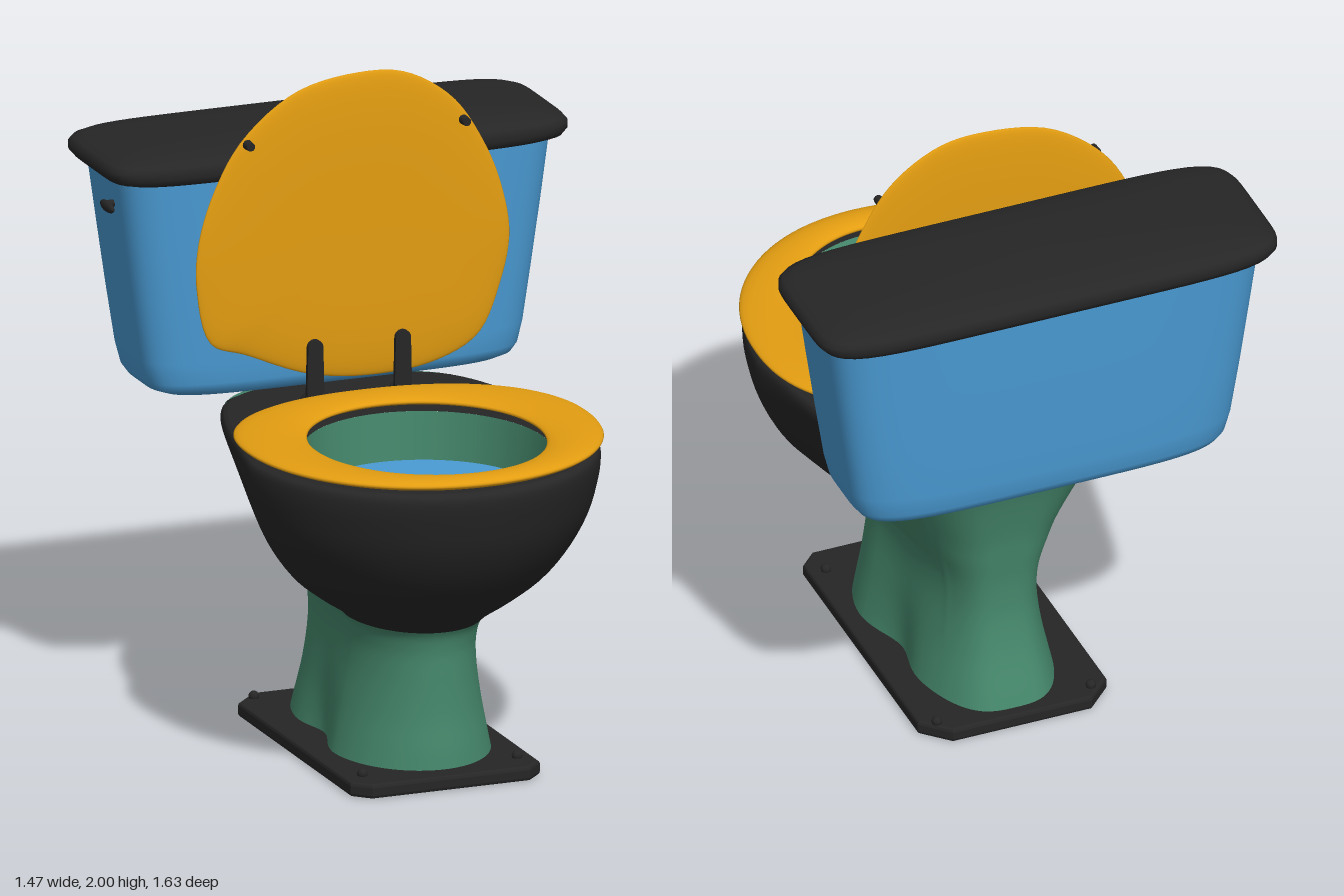
import * as THREE from 'three';

const BLACK = 0x262626, ORANGE = 0xe39d11, BLUE = 0x4a9bd4, GREEN = 0x46896d;
const TAU = Math.PI * 2, CX = -0.013, SIDES = 144;

function addMesh(parent, name, geometry, color, x = 0, y = 0, z = 0) {
  const mesh = new THREE.Mesh(geometry, new THREE.MeshStandardMaterial({ color }));
  mesh.name = name;
  mesh.position.set(x, y, z);
  parent.add(mesh);
  return mesh;
}

// Smooth surface f(u, v) -> [x, y, z], closed in u
function surface(f, nu, nv) {
  const pos = [], idx = [];
  for (let j = 0; j <= nv; j++)
    for (let i = 0; i < nu; i++) pos.push(...f(i / nu, j / nv));
  for (let j = 0; j < nv; j++)
    for (let i = 0; i < nu; i++) {
      const k = (i + 1) % nu, a = j * nu + i, b = j * nu + k, c = b + nu, d = a + nu;
      idx.push(a, b, c, a, c, d);
    }
  const g = new THREE.BufferGeometry();
  g.setAttribute('position', new THREE.Float32BufferAttribute(pos, 3));
  g.setIndex(idx);
  g.computeVertexNormals();
  return g;
}

// Horizontal egg: half width, front z, back z, z of the widest point, squareness front and back
function egg(u, hw, zf, zb, zm, nf = 2, nb = 2) {
  const s = Math.sin(u * TAU), c = Math.cos(u * TAU), n = c > 0 ? nf : nb;
  const r = (Math.abs(s) ** n + Math.abs(c) ** n) ** (-1 / n);
  return [CX + hw * r * s, zm + (c > 0 ? zf - zm : zm - zb) * r * c];
}

// Stack of rounded rectangles; rows are [y, half width, front z, back z]
function roundedStack(rows, n) {
  return surface((u, v) => {
    const [y, hw, zf, zb] = rows[Math.round(v * (rows.length - 1))];
    const [x, z] = egg(u, hw, zf, zb, (zf + zb) / 2, n, n);
    return [x + 0.008, y, z];
  }, 128, rows.length - 1);
}

// Bowl and pedestal profile: y, half width, front z, back z, widest z, half width at the back
const bodyRows = [
  [0.03, 0.245, 0.465, -0.445, 0.16, 0.22], [0.1, 0.23, 0.46, -0.425, 0.16, 0.205],
  [0.2, 0.21, 0.45, -0.395, 0.16, 0.185], [0.32, 0.19, 0.447, -0.375, 0.17, 0.17],
  [0.41, 0.188, 0.45, -0.375, 0.18, 0.17], [0.475, 0.21, 0.475, -0.38, 0.2, 0.18],
  [0.54, 0.3, 0.56, -0.39, 0.23, 0.195], [0.61, 0.385, 0.64, -0.4, 0.25, 0.215],
  [0.7, 0.455, 0.715, -0.42, 0.25, 0.255], [0.8, 0.507, 0.77, -0.447, 0.25, 0.305],
  [0.9, 0.534, 0.8, -0.483, 0.25, 0.355], [0.96, 0.54, 0.812, -0.503, 0.25, 0.385],
  [0.988, 0.535, 0.808, -0.475, 0.25, 0.39], [0.998, 0.52, 0.79, -0.435, 0.25, 0.39],
];
const spline = (i) => new THREE.CatmullRomCurve3(
  bodyRows.map(r => new THREE.Vector3(r[i], r[i + 1], r[i + 2])), false, 'catmullrom');
const curveA = spline(0), curveB = spline(3);

function body(u, v) {
  const a = curveA.getPoint(v), b = curveB.getPoint(v);
  const [x, z] = egg(u, a.y, a.z, b.x, b.y, 2, 3 + 1.8 * a.x ** 2);
  // taper towards the back, and a slight waist in the foot
  const t = Math.max(0, (b.y - z) / (b.y - b.x));
  const taper = 1 + (b.z / a.y - 1) * t ** 1.05;
  const pinch = 1 - 0.2 * Math.exp(-(((z + 0.02) / 0.11) ** 2) - (a.x / 0.22) ** 2);
  return [CX + (x - CX) * taper * pinch, a.x, z];
}

// Height of the line between pedestal and bowl at depth z
const seam = [[0.2, 0.47], [0.1, 0.51], [0, 0.575], [-0.1, 0.64], [-0.2, 0.74], [-0.36, 0.88], [-0.39, 1.05]];
function seamHeight(z) {
  if (z >= seam[0][0]) return seam[0][1];
  for (let i = 1; i < seam.length; i++)
    if (z >= seam[i][0]) {
      const [z0, y0] = seam[i - 1], [z1, y1] = seam[i];
      return y0 + (y1 - y0) * (z0 - z) / (z0 - z1);
    }
  return 1.05;
}
function seamV(u) {
  let lo = 0, hi = 1;
  for (let i = 0; i < 24; i++) {
    const mid = (lo + hi) / 2, p = body(u, mid);
    if (p[1] > seamHeight(p[2])) hi = mid; else lo = mid;
  }
  return hi;
}

export function createModel() {
  const root = new THREE.Group();
  root.name = 'toilet';

  // Base plate with cut corners, larger at the back, and its bolts
  const f = 0.05, b = 0.08, w = 0.303, plate = new THREE.Shape();
  plate.setFromPoints([
    [-w + f, -0.535], [w - f, -0.535], [w, -0.535 + f], [w, 0.48 - b],
    [w - b, 0.48], [-w + b, 0.48], [-w, 0.48 - b], [-w, -0.535 + f],
  ].map(([x, y]) => new THREE.Vector2(x, y)));
  const plateGeo = new THREE.ExtrudeGeometry(plate, {
    depth: 0.024, bevelThickness: 0.01, bevelSize: 0.01, bevelOffset: -0.01, bevelSegments: 2,
  }).rotateX(-Math.PI / 2);
  addMesh(root, 'basePlate', plateGeo, BLACK, -0.02, 0.01, 0);
  for (const x of [-0.262, 0.232])
    for (const z of [0.43, -0.425])
      addMesh(root, 'baseBolt', new THREE.SphereGeometry(0.016, 12, 8), BLACK, x, 0.05, z);

  // Pedestal below the seam, bowl above it
  const split = Array.from({ length: SIDES }, (_, i) => seamV(i / SIDES));
  const splitAt = u => split[Math.round(u * SIDES) % SIDES];
  addMesh(root, 'pedestal', surface((u, v) => body(u, v * splitAt(u)), SIDES, 32), GREEN);
  addMesh(root, 'bowl', surface((u, v) => body(u, splitAt(u) + v * (1 - splitAt(u))), SIDES, 28), BLACK);

  // Rim deck, inner wall and water
  const hole = u => egg(u, 0.365, 0.725, -0.06, 0.33);
  const pool = u => egg(u, 0.35, 0.66, -0.05, 0.3);
  addMesh(root, 'rimDeck', surface((u, v) => {
    const p = body(u, 1), h = hole(u);
    return [p[0] + (h[0] - p[0]) * v, 0.998, p[2] + (h[1] - p[2]) * v];
  }, SIDES, 2), BLACK);
  addMesh(root, 'bowlInside', surface((u, v) => {
    const h = hole(u), p = pool(u);
    return [h[0] + (p[0] - h[0]) * v, 0.998 - 0.15 * v, h[1] + (p[1] - h[1]) * v];
  }, 72, 4), GREEN);
  addMesh(root, 'water', surface((u, v) => {
    const p = pool(u);
    return [CX + (p[0] - CX) * (1 - v), 0.85, 0.3 + (p[1] - 0.3) * (1 - v)];
  }, 72, 2), BLUE);

  // Seat ring with a rounded section
  addMesh(root, 'seat', surface((u, v) => {
    const a = -Math.PI / 2 + v * TAU, t = 0.5 - 0.5 * Math.cos(a);
    const o = egg(u, 0.545, 0.817, -0.203, 0.25, 2.07, 2.3), i = egg(u, 0.35, 0.718, -0.053, 0.32);
    return [o[0] + (i[0] - o[0]) * t, 1.026 + 0.018 * Math.sin(a), o[1] + (i[1] - o[1]) * t];
  }, 96, 24), ORANGE);

  // Raised lid, pillowed
  const outline = new THREE.CatmullRomCurve3([
    [0, 2], [-0.2, 1.96], [-0.37, 1.83], [-0.46, 1.68], [-0.51, 1.52], [-0.515, 1.38], [-0.47, 1.21], [-0.36, 1.165],
    [-0.16, 1.085], [0.03, 1.06], [0.24, 1.08], [0.38, 1.15], [0.45, 1.3], [0.48, 1.45], [0.455, 1.6], [0.4, 1.74],
    [0.3, 1.89], [0.15, 1.985],
  ].map(([x, y]) => new THREE.Vector3(x, y, 0)), true);
  addMesh(root, 'lid', surface((u, v) => {
    const a = (v - 0.5) * Math.PI, p = outline.getPoint(u), s = Math.abs(Math.cos(a)) ** 0.5;
    const x = -0.015 + (p.x + 0.015) * s;
    return [x, 1.5 + (p.y - 1.5) * s, -0.246 + 0.01 * x + 0.02 * Math.sin(a)];
  }, 96, 24), ORANGE);
  for (const x of [-0.36, 0.33])
    addMesh(root, 'lidBumper', new THREE.CylinderGeometry(0.013, 0.015, 0.03, 12).rotateX(Math.PI / 2), BLACK, x, 1.82, -0.219);

  // Hinges: strap with a rounded top, and a dome on the deck
  const strap = new THREE.Shape();
  strap.moveTo(-0.028, 0);
  strap.lineTo(0.028, 0);
  strap.lineTo(0.024, 0.175);
  strap.absarc(0, 0.175, 0.024, 0, Math.PI);
  strap.closePath();
  const strapGeo = new THREE.ExtrudeGeometry(strap, { depth: 0.014, bevelEnabled: false });
  for (const x of [-0.15, 0.13]) {
    const hinge = new THREE.Group();
    hinge.name = 'hinge';
    hinge.position.set(x, 0.998, -0.226);
    addMesh(hinge, 'hingeStrap', strapGeo, BLACK);
    addMesh(hinge, 'hingeDome', new THREE.SphereGeometry(0.034, 16, 8, 0, TAU, 0, Math.PI / 2), BLACK, 0, 0, -0.02);
    root.add(hinge);
  }

  // Tank and its cover
  addMesh(root, 'tank', roundedStack([
    [1.01, 0, -0.54, -0.54], [1.01, 0.48, -0.4, -0.68], [1.014, 0.54, -0.367, -0.72], [1.028, 0.575, -0.347, -0.743],
    [1.055, 0.594, -0.337, -0.757], [1.12, 0.61, -0.332, -0.767], [1.3, 0.637, -0.324, -0.779],
    [1.5, 0.665, -0.314, -0.79], [1.7, 0.692, -0.307, -0.8],
  ], 4.8), BLUE);
  addMesh(root, 'tankCover', roundedStack([
    [1.69, 0, -0.55, -0.55], [1.69, 0.695, -0.31, -0.795], [1.697, 0.72, -0.298, -0.81], [1.715, 0.735, -0.292, -0.818],
    [1.735, 0.735, -0.292, -0.818], [1.75, 0.722, -0.298, -0.812], [1.761, 0.69, -0.315, -0.797],
    [1.773, 0.6, -0.37, -0.74], [1.78, 0.4, -0.45, -0.66], [1.78, 0, -0.55, -0.55],
  ], 6.5), BLACK);

  // Flush lever on the side of the tank
  const lever = new THREE.Group();
  lever.name = 'flushLever';
  lever.position.set(-0.7, 1.605, -0.49);
  addMesh(lever, 'leverPin', new THREE.CylinderGeometry(0.011, 0.011, 0.04, 12).rotateZ(Math.PI / 2), BLACK, 0.005, 0, 0);
  addMesh(lever, 'leverHandle', new THREE.SphereGeometry(1, 16, 10).scale(0.012, 0.017, 0.05), BLACK, -0.014, 0, 0.025);
  root.add(lever);

  return root;
}
